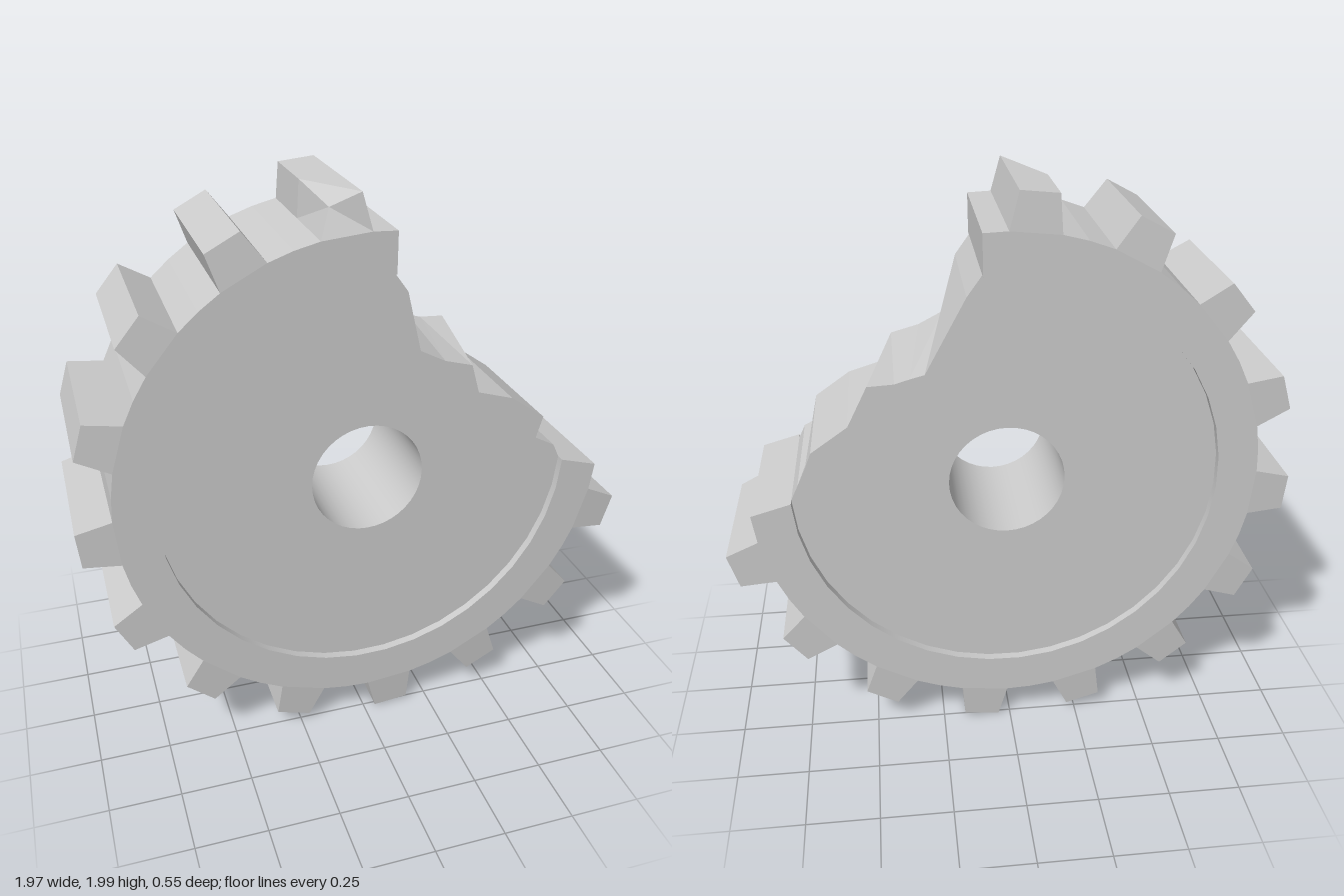
import * as THREE from 'three';

const CX = 0.01, CY = 1.0;
const HOLE_R = 0.2, DISC_R = 0.735, ROOT_R = 0.875, TIP_R = 0.998;
const DISC_Z = 0.245, RIM_Z = 0.275, TIP_Z = 0.265;
const ARC_FROM = 83.8, ARC_TO = 357.6, ARC_STEPS = 30;

const material = new THREE.MeshStandardMaterial({ color: 0xcccccc, flatShading: true });
const smooth = new THREE.MeshStandardMaterial({ color: 0xcccccc, side: THREE.BackSide });

const polar = (r, deg) => {
  const a = THREE.MathUtils.degToRad(deg);
  return [CX + r * Math.cos(a), CY + r * Math.sin(a)];
};

// Collects triangles from points given as [x, y, z]
class Builder {
  constructor() { this.data = []; }
  tri(a, b, c) { this.data.push(...a, ...b, ...c); }

  // Flat cap over a counter-clockwise outline
  cap(points, holes, back) {
    const to2 = (list) => list.map((p) => new THREE.Vector2(p[0], p[1]));
    const all = [points, ...holes].flat();
    for (const f of THREE.ShapeUtils.triangulateShape(to2(points), holes.map(to2))) {
      const [a, b, c] = f.map((i) => all[i]);
      const ccw = (b[0] - a[0]) * (c[1] - a[1]) - (b[1] - a[1]) * (c[0] - a[0]) > 0;
      if (ccw !== back) this.tri(a, b, c); else this.tri(a, c, b);
    }
  }

  // Wall between matching front and back paths
  wall(front, back, flip = false) {
    for (let i = 0; i < front.length - 1; i++) {
      const [a, b, c, d] = [front[i], back[i], back[i + 1], front[i + 1]];
      if (flip) { this.tri(a, b, d); this.tri(b, c, d); }
      else { this.tri(a, b, c); this.tri(a, c, d); }
    }
  }

  mesh(name) {
    const g = new THREE.BufferGeometry();
    g.setAttribute('position', new THREE.Float32BufferAttribute(this.data, 3));
    g.computeVertexNormals();
    const m = new THREE.Mesh(g, material);
    m.name = name;
    return m;
  }
}

const arc = () => Array.from({ length: ARC_STEPS + 1 }, (_, i) =>
  polar(DISC_R, ARC_FROM + (ARC_TO - ARC_FROM) * i / ARC_STEPS));

// Web of the wheel, with a jagged break that differs front to back
function makeDisc() {
  const frontBreak = [[0.72, 1.02], [0.645, 1.06], [0.668, 1.14], [0.54, 1.23],
    [0.41, 1.27], [0.38, 1.375], [0.28, 1.403], [0.19, 1.45], [0.14, 1.66]];
  const backBreak = [[0.72, 1.02], [0.69, 1.085], [0.668, 1.14], [0.54, 1.23],
    [0.47, 1.37], [0.38, 1.375], [0.33, 1.39], [0.28, 1.403], [0.14, 1.66]];
  const ring = arc();
  const hole = Array.from({ length: 40 }, (_, i) => polar(HOLE_R, i * 9));
  const b = new Builder();
  const lift = (list, z) => list.map(([x, y]) => [x, y, z]);
  b.cap(lift([...frontBreak, ...ring], DISC_Z), [lift(hole, DISC_Z)], false);
  b.cap(lift([...backBreak, ...ring], -DISC_Z), [lift(hole, -DISC_Z)], true);
  const edge = (list, z) => lift([ring[ARC_STEPS], ...list, ring[0]], z);
  b.wall(edge(frontBreak, DISC_Z), edge(backBreak, -DISC_Z), true);
  return b.mesh('brokenDisc');
}

// Toothed rim: sixteen-tooth spacing with twelve teeth left
function makeRim() {
  const sections = [1, 0, -1].map((s) => {
    const outer = [[...polar(ROOT_R, 84.7), s * RIM_Z]];
    const roots = [outer[0]], teeth = [];
    for (let k = 0; k < 12; k++) {
      const mid = 95.6 + 22.5 * k;
      const t = [[ROOT_R, -5.5, RIM_Z], [TIP_R, -3.65, TIP_Z], [TIP_R, 3.65, TIP_Z], [ROOT_R, 5.5, RIM_Z]]
        .map(([r, d, z]) => [...polar(r, mid + d), s * z]);
      // Chipped front corner on the top tooth
      if (k === 0 && s === 1) t[2] = [-0.12, 1.95, 0.232];
      const valley = [...polar(ROOT_R, k < 11 ? mid + 11.25 : 355.4), s * RIM_Z];
      teeth.push(t);
      outer.push(...t, valley);
      roots.push(t[0], t[3], valley);
    }
    const inner = arc().reverse().map(([x, y]) => [x, y, s * RIM_Z]);
    const path = [inner[ARC_STEPS], ...outer, inner[0]];
    return { path, roots, teeth, inner };
  });
  const b = new Builder();
  b.wall(sections[0].path, sections[1].path);
  b.wall(sections[1].path, sections[2].path);
  for (const [s, back] of [[sections[0], false], [sections[2], true]]) {
    b.cap([...s.roots, ...s.inner], [], back);
    s.teeth.forEach((t) => b.cap(t, [], back));
  }
  return b.mesh('toothedRim');
}

// Inward-facing cylinder wall along z
function makeInnerWall(name, r, depth, z, segments, from, length) {
  const g = new THREE.CylinderGeometry(r, r, depth, segments, 1, true, from, length);
  g.rotateX(Math.PI / 2);
  const m = new THREE.Mesh(g, smooth);
  m.position.set(CX, CY, z);
  m.name = name;
  return m;
}

export function createModel() {
  const gear = new THREE.Group();
  gear.name = 'brokenGear';
  gear.add(makeDisc(), makeRim());
  gear.add(makeInnerWall('axleHole', HOLE_R, DISC_Z * 2, 0, 40, 0, Math.PI * 2));

  // Shallow step from the rim down to the disc on both faces
  const rad = THREE.MathUtils.degToRad;
  for (const s of [1, -1]) {
    gear.add(makeInnerWall(s > 0 ? 'frontRimStep' : 'backRimStep', DISC_R, RIM_Z - DISC_Z,
      s * (RIM_Z + DISC_Z) / 2, ARC_STEPS, rad(ARC_FROM + 90), rad(ARC_TO - ARC_FROM)));
  }
  return gear;
}
